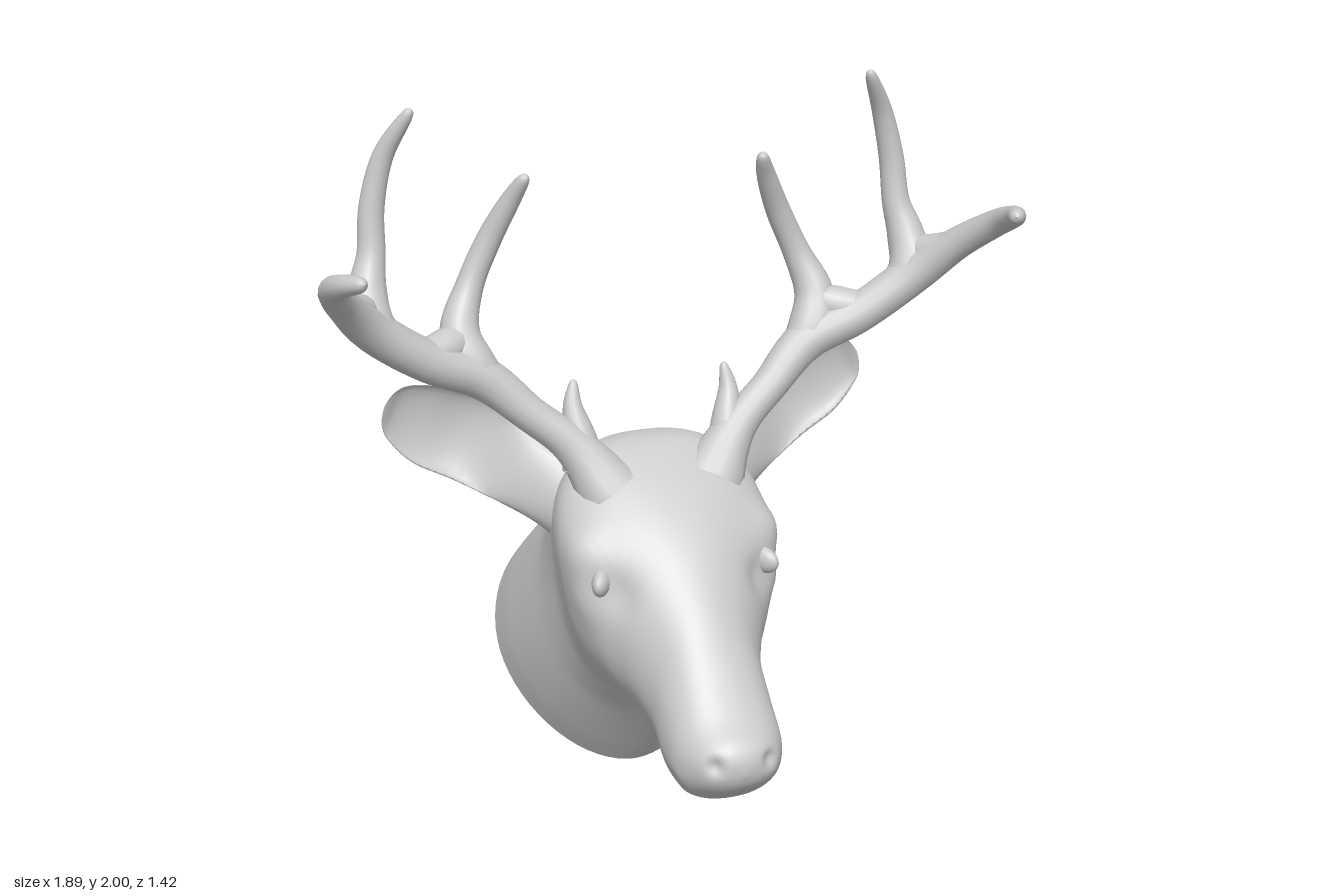
import * as THREE from 'three';

const V = (x, y, z) => new THREE.Vector3(x, y, z);
const material = new THREE.MeshStandardMaterial({ color: 0xcccccc, side: THREE.DoubleSide });
const flatMaterial = new THREE.MeshStandardMaterial({ color: 0xcccccc, flatShading: true });

// Smoothly interpolates a table of rows (Catmull-Rom on every column)
function smoothRows(rows, steps) {
  const out = [];
  const last = rows.length - 1;
  for (let k = 0; k <= last * steps; k++) {
    const i = Math.min(Math.floor(k / steps), last - 1);
    const t = k / steps - i;
    const [a, b, c, d] = [i - 1, i, i + 1, i + 2].map((n) => rows[Math.min(Math.max(n, 0), last)]);
    out.push(b.map((q, n) => q + 0.5 * t * (c[n] - a[n]
      + t * (2 * a[n] - 5 * q + 4 * c[n] - d[n] + t * (3 * (q - c[n]) + d[n] - a[n])))));
  }
  return out;
}

// Skins closed rings that run counter-clockwise about the direction of travel
function loft(rings) {
  const n = rings[0].length;
  const index = [];
  for (let i = 0; i < rings.length - 1; i++) {
    for (let j = 0; j < n; j++) {
      const a = i * n + j, b = i * n + (j + 1) % n;
      index.push(a, b, b + n, a, b + n, a + n);
    }
  }
  const geometry = new THREE.BufferGeometry().setFromPoints(rings.flat());
  geometry.setIndex(index);
  geometry.computeVertexNormals();
  return geometry;
}

function mirrored(geometry) {
  const copy = geometry.clone().scale(-1, 1, 1);
  const ids = copy.index.array;
  for (let i = 0; i < ids.length; i += 3) [ids[i], ids[i + 1]] = [ids[i + 1], ids[i]];
  copy.computeVertexNormals();
  return copy;
}

// Tapered limb through rows of x, y, z, radius
function limb(rows, sides = 14) {
  const path = smoothRows(rows, 6);
  const points = path.map((r) => V(r[0], r[1], r[2]));
  const normal = V(0.1, 0, 1);
  return loft(points.map((p, i) => {
    const tangent = points[Math.min(i + 1, points.length - 1)].clone()
      .sub(points[Math.max(i - 1, 0)]).normalize();
    normal.addScaledVector(tangent, -normal.dot(tangent)).normalize();
    const side = tangent.clone().cross(normal);
    const radius = Math.max(path[i][3], 0);
    return Array.from({ length: sides }, (_, j) => {
      const t = (j / sides) * Math.PI * 2;
      return p.clone().addScaledVector(normal, Math.cos(t) * radius)
        .addScaledVector(side, Math.sin(t) * radius);
    });
  }));
}

// Head and neck stations: top z, top y, bottom z, bottom y, half width, top flare, squareness
const bodyRows = [
  [0.712, 0.385, 0.712, 0.375, 0.0, 0, 2],
  [0.705, 0.42, 0.695, 0.335, 0.06, 0, 2.1],
  [0.68, 0.455, 0.65, 0.29, 0.108, 0, 2.2],
  [0.61, 0.505, 0.57, 0.247, 0.148, -0.05, 2.2],
  [0.52, 0.6, 0.49, 0.25, 0.155, -0.08, 2.2],
  [0.42, 0.715, 0.4, 0.293, 0.16, -0.05, 2.1],
  [0.32, 0.83, 0.31, 0.33, 0.2, 0.05, 2.1],
  [0.22, 0.92, 0.24, 0.346, 0.255, 0.14, 2.2],
  [0.1, 1.0, 0.17, 0.356, 0.29, 0.15, 2.4],
  [-0.02, 1.048, 0.12, 0.35, 0.287, 0.12, 2.7],
  [-0.15, 1.015, 0.08, 0.305, 0.275, 0.05, 2.5],
  [-0.29, 0.88, 0.03, 0.24, 0.28, 0, 2.1],
  [-0.45, 0.745, -0.04, 0.15, 0.3, 0.02, 2],
  [-0.59, 0.635, -0.1, 0.07, 0.315, 0.05, 1.95],
  [-0.705, 0.545, -0.15, 0.005, 0.32, 0.07, 1.9],
];

function bodyRing([tz, ty, bz, by, width, flare, power], sides = 64) {
  const curve = (q) => Math.sign(q) * Math.abs(q) ** (2 / power);
  return Array.from({ length: sides }, (_, j) => {
    const t = (j / sides) * Math.PI * 2;
    const v = -curve(Math.sin(t));
    return V(Math.max(width, 0) * curve(Math.cos(t)) * (1 + flare * v),
      (ty + by + v * (ty - by)) / 2, (tz + bz + v * (tz - bz)) / 2);
  });
}

// Soft dents and bumps: centre, push on x / y / z, spread
const sculpting = [
  [V(0.26, 0.82, 0.18), V(0.024, 0.01, 0.01), 0.07], // brow
  [V(0.22, 0.74, 0.3), V(-0.02, 0, -0.01), 0.05], // tear duct
  [V(0.25, 0.69, 0.2), V(0.014, 0, 0), 0.05], // cheekbone
  [V(0.075, 0.4, 0.685), V(-0.008, 0, -0.016), 0.022], // nostril
  [V(0.14, 0.315, 0.56), V(-0.01, 0.004, 0), 0.026], // mouth corner
];

function sculpt(p) {
  const side = Math.sign(p.x);
  const q = V(Math.abs(p.x), p.y, p.z);
  for (const [centre, push, spread] of sculpting) {
    const w = Math.exp(-q.distanceToSquared(centre) / (spread * spread));
    p.add(V(push.x * side, push.y, push.z).multiplyScalar(w));
  }
  return p;
}

// Ear stations: x, y, z, half height, depth, front bulge (negative is cupped)
const earRows = [
  [0.19, 0.85, -0.08, 0.12, 0.1, 0.9],
  [0.26, 0.9, -0.105, 0.108, 0.085, 0.8],
  [0.34, 0.95, -0.14, 0.107, 0.075, 0.4],
  [0.46, 1.035, -0.18, 0.122, 0.075, -0.5],
  [0.57, 1.085, -0.2, 0.115, 0.06, -0.65],
  [0.645, 1.125, -0.21, 0.085, 0.04, -0.6],
  [0.678, 1.142, -0.21, 0.05, 0.02, -0.3],
  [0.69, 1.15, -0.21, 0, 0, 0],
];

function earGeometry(sides = 28) {
  return loft(smoothRows(earRows, 5).map(([x, y, z, height, depth, front]) =>
    Array.from({ length: sides }, (_, j) => {
      const t = (j / sides) * Math.PI * 2;
      const h = Math.max(height, 0) * Math.cos(t);
      const s = Math.sin(t) * depth;
      return V(x - 0.4 * h, y + 0.9 * h, z + (Math.sin(t) > 0 ? s * front : s));
    })));
}

// Antler branches as x, y, z, radius; tines start inside the beam and peel away from it
const antlerParts = {
  mainBeam: [
    [0.15, 0.94, 0.06, 0.09], [0.2, 1.02, 0.035, 0.066], [0.255, 1.085, 0.015, 0.052],
    [0.34, 1.155, -0.01, 0.049], [0.46, 1.26, -0.045, 0.058], [0.61, 1.328, -0.03, 0.056],
    [0.76, 1.435, 0.0, 0.056], [0.85, 1.535, 0.08, 0.045], [0.905, 1.615, 0.19, 0.037],
    [0.905, 1.66, 0.29, 0.03], [0.875, 1.683, 0.365, 0.02], [0.866, 1.687, 0.383, 0],
  ],
  innerTine: [
    [0.4, 1.2, -0.03, 0.04], [0.48, 1.29, -0.06, 0.062], [0.505, 1.38, -0.1, 0.054],
    [0.465, 1.49, -0.135, 0.038], [0.41, 1.61, -0.135, 0.034], [0.36, 1.72, -0.1, 0.027],
    [0.333, 1.785, -0.062, 0.016], [0.33, 1.797, -0.055, 0],
  ],
  innerFork: [
    [0.5, 1.37, -0.09, 0.04], [0.55, 1.35, -0.065, 0.052], [0.63, 1.345, -0.03, 0.044],
    [0.7, 1.38, -0.01, 0.035],
  ],
  outerTine: [
    [0.66, 1.35, -0.015, 0.035], [0.755, 1.44, -0.02, 0.06], [0.758, 1.53, -0.06, 0.051],
    [0.738, 1.62, -0.088, 0.038], [0.728, 1.74, -0.105, 0.034], [0.695, 1.87, -0.1, 0.028],
    [0.64, 1.98, -0.056, 0.016], [0.63, 2.0, -0.05, 0],
  ],
  outerFork: [
    [0.755, 1.52, -0.055, 0.035], [0.785, 1.49, -0.02, 0.048], [0.83, 1.515, 0.05, 0.044],
    [0.87, 1.56, 0.12, 0.035],
  ],
  browTine: [
    [0.205, 1.0, 0.03, 0.06], [0.21, 1.08, 0.01, 0.044], [0.222, 1.16, -0.015, 0.027],
    [0.215, 1.22, -0.03, 0.012], [0.213, 1.232, -0.033, 0],
  ],
};

export function createModel() {
  const model = new THREE.Group();
  model.name = 'deerHeadMount';
  const add = (name, geometry, mat = material) => {
    const mesh = new THREE.Mesh(geometry, mat);
    mesh.name = name;
    model.add(mesh);
  };
  const addPair = (name, geometry) => {
    add(name + 'Left', geometry);
    add(name + 'Right', mirrored(geometry));
  };

  // Head flowing into the neck
  add('headAndNeck', loft(smoothRows(bodyRows, 6).map((row) => bodyRing(row).map(sculpt))));

  // Slightly domed, faceted cut at the back of the neck
  const rim = bodyRing(bodyRows[bodyRows.length - 1], 16);
  const centre = V(0, 0.275, -0.4275);
  const capRings = [1, 0.6, 0].map((scale) => rim.map((p) =>
    p.clone().lerp(centre, 1 - scale).addScaledVector(V(0, -0.7, -0.7), 0.06 * (1 - scale ** 2))));
  add('neckBase', loft(capRings), flatMaterial);

  // Eyes set shallowly into the head
  const eye = new THREE.SphereGeometry(0.05, 20, 14).scale(0.5, 0.75, 1.1);
  eye.rotateY(0.5).translate(0.228, 0.755, 0.235);
  addPair('eye', eye);

  addPair('ear', earGeometry());
  for (const [name, rows] of Object.entries(antlerParts)) addPair(name, limb(rows));
  return model;
}
